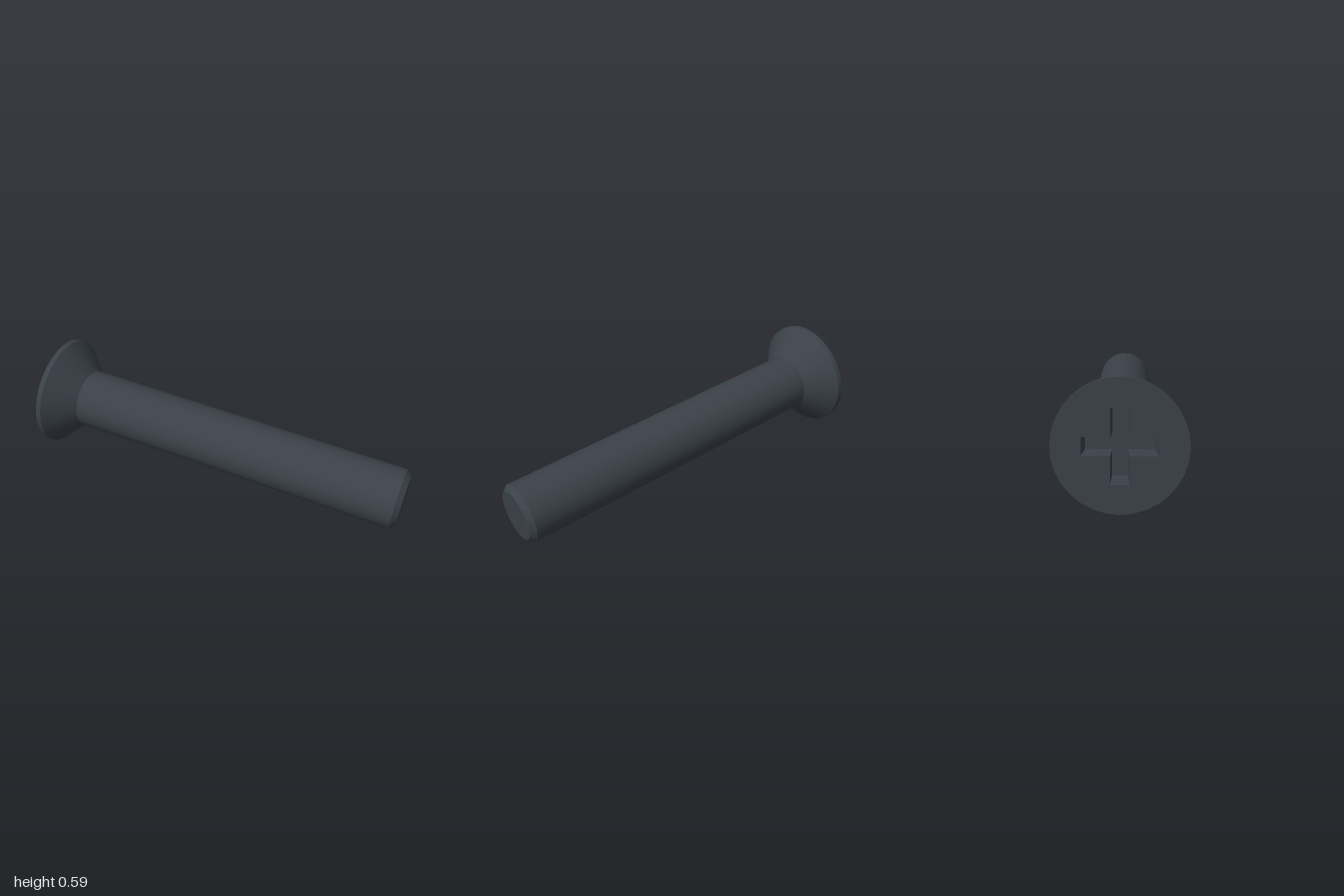
import * as THREE from 'three';

export function createModel() {
  const steel = new THREE.MeshStandardMaterial({ color: 0x3a4148 });
  steel.name = 'dark steel';

  const SIDES = 32, LENGTH = 1.955, HEAD_R = 0.293, SHAFT_R = 0.155, TIP_R = 0.129;
  const RIM = 0.027, HEAD_DEPTH = 0.165, CHAMFER = 0.028;

  // The screw is built along local z, head face at z = 0 looking +z, shaft towards -z
  const screw = new THREE.Group();
  screw.name = 'screw';
  const add = (name, geometry) => {
    const mesh = new THREE.Mesh(geometry, steel);
    mesh.name = name;
    screw.add(mesh);
    return mesh;
  };

  // One turned band between two radii; separate bands keep the edges sharp
  const band = (name, z0, r0, z1, r1) => add(name, new THREE.LatheGeometry(
    [new THREE.Vector2(r0, z0), new THREE.Vector2(r1, z1)], SIDES).rotateX(Math.PI / 2));

  band('tipFace', -LENGTH, 0, -LENGTH, TIP_R);
  band('tipChamfer', -LENGTH, TIP_R, -LENGTH + CHAMFER, SHAFT_R);
  band('shaft', -LENGTH + CHAMFER, SHAFT_R, -HEAD_DEPTH, SHAFT_R);
  band('headCone', -HEAD_DEPTH, SHAFT_R, -RIM, HEAD_R);
  band('headRim', -RIM, HEAD_R, 0, HEAD_R);

  // Cross outline, counter-clockwise, from arm length a and half width w
  const cross = (a, w) => {
    const points = [];
    for (let i = 0; i < 4; i++) {
      for (const [x, y] of [[a, -w], [a, w], [w, w]]) {
        points.push(new THREE.Vector2(x, y).rotateAround(new THREE.Vector2(), i * Math.PI / 2));
      }
    }
    return points;
  };
  const outer = cross(0.163, 0.04), inner = cross(0.15, 0.034), DEPTH = 0.1;

  // Flat head face with a cross-shaped opening
  const disc = [];
  for (let i = 0; i < SIDES; i++) {
    const t = i / SIDES * Math.PI * 2;
    disc.push(new THREE.Vector2(Math.cos(t) * HEAD_R, Math.sin(t) * HEAD_R));
  }
  const face = new THREE.Shape(disc);
  face.holes.push(new THREE.Path(outer));
  add('headFace', new THREE.ShapeGeometry(face));

  // Drive recess: tapered walls and a floor
  const walls = [];
  outer.forEach((p, i) => {
    const j = (i + 1) % outer.length;
    const a = [p.x, p.y, 0], b = [outer[j].x, outer[j].y, 0];
    const c = [inner[j].x, inner[j].y, -DEPTH], d = [inner[i].x, inner[i].y, -DEPTH];
    walls.push(...a, ...b, ...c, ...a, ...c, ...d);
  });
  const wallGeometry = new THREE.BufferGeometry();
  wallGeometry.setAttribute('position', new THREE.Float32BufferAttribute(walls, 3));
  wallGeometry.computeVertexNormals();
  add('recessWalls', wallGeometry);
  add('recessFloor', new THREE.ShapeGeometry(new THREE.Shape(inner))).position.z = -DEPTH;

  // Lay the screw down at a slant, resting on the head rim and the tip
  const headCentre = new THREE.Vector3(-0.936, 0.296, -0.133);
  const tipCentre = new THREE.Vector3(0.972, 0.157, 0.273);
  screw.position.copy(headCentre);
  screw.lookAt(headCentre.clone().multiplyScalar(2).sub(tipCentre));

  const model = new THREE.Group();
  model.name = 'countersunkScrew';
  model.add(screw);
  return model;
}
